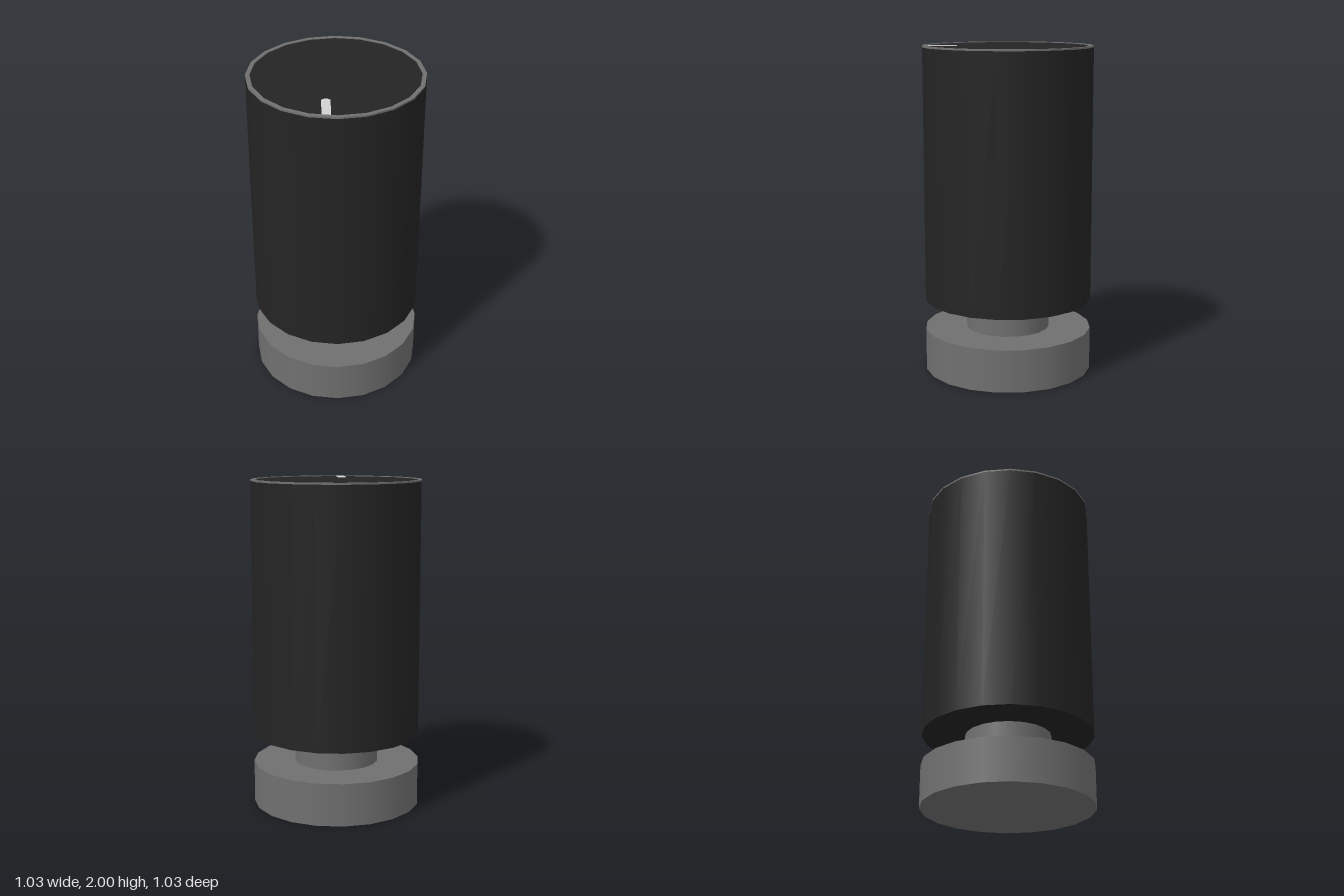
import * as THREE from 'three';
import { toCreasedNormals } from 'three/addons/utils/BufferGeometryUtils.js';

const SIDES = 20, R = 0.515, INNER = 0.49;

export function createModel() {
  const group = new THREE.Group();
  const material = (name, color) => {
    const m = new THREE.MeshStandardMaterial({ color });
    m.name = name;
    return m;
  };
  const black = material('black', 0x242424);
  const grey = material('grey', 0x707070);
  const white = material('pale grey', 0xd0d0d0);

  const add = (name, geometry, mat) => {
    const mesh = new THREE.Mesh(geometry, mat);
    mesh.name = name;
    group.add(mesh);
    return mesh;
  };
  const disc = (name, radius, y0, y1, mat) => {
    const geometry = new THREE.CylinderGeometry(radius, radius, y1 - y0, SIDES);
    add(name, geometry, mat).position.y = (y0 + y1) / 2;
  };

  // Stacked turned parts
  disc('base', R, 0, 0.26, grey);
  disc('shaft', 0.258, 0.26, 0.445, grey);
  disc('knobBody', R, 0.445, 1.99, black);
  disc('topCap', INNER, 1.99, 1.996, black);

  // Thin rim around the cap
  const profile = [[R, 1.99], [R, 2], [INNER, 2], [INNER, 1.99]].map(([x, y]) => new THREE.Vector2(x, y));
  add('topRim', toCreasedNormals(new THREE.LatheGeometry(profile, SIDES), 0.6), grey);

  // Pointer mark with a rounded inner end, running out to the rim
  const half = 0.0255, outline = new THREE.Shape();
  outline.moveTo(-half, -0.49);
  outline.lineTo(half, -0.49);
  outline.lineTo(half, -0.32);
  outline.quadraticCurveTo(half, -0.298, 0, -0.298);
  outline.quadraticCurveTo(-half, -0.298, -half, -0.32);
  outline.closePath();
  const mark = new THREE.ExtrudeGeometry(outline, { depth: 0.004, bevelEnabled: false, curveSegments: 4 });
  mark.rotateX(-Math.PI / 2);
  add('pointerMark', mark, white).position.set(-0.0615, 1.995, 0);

  return group;
}
